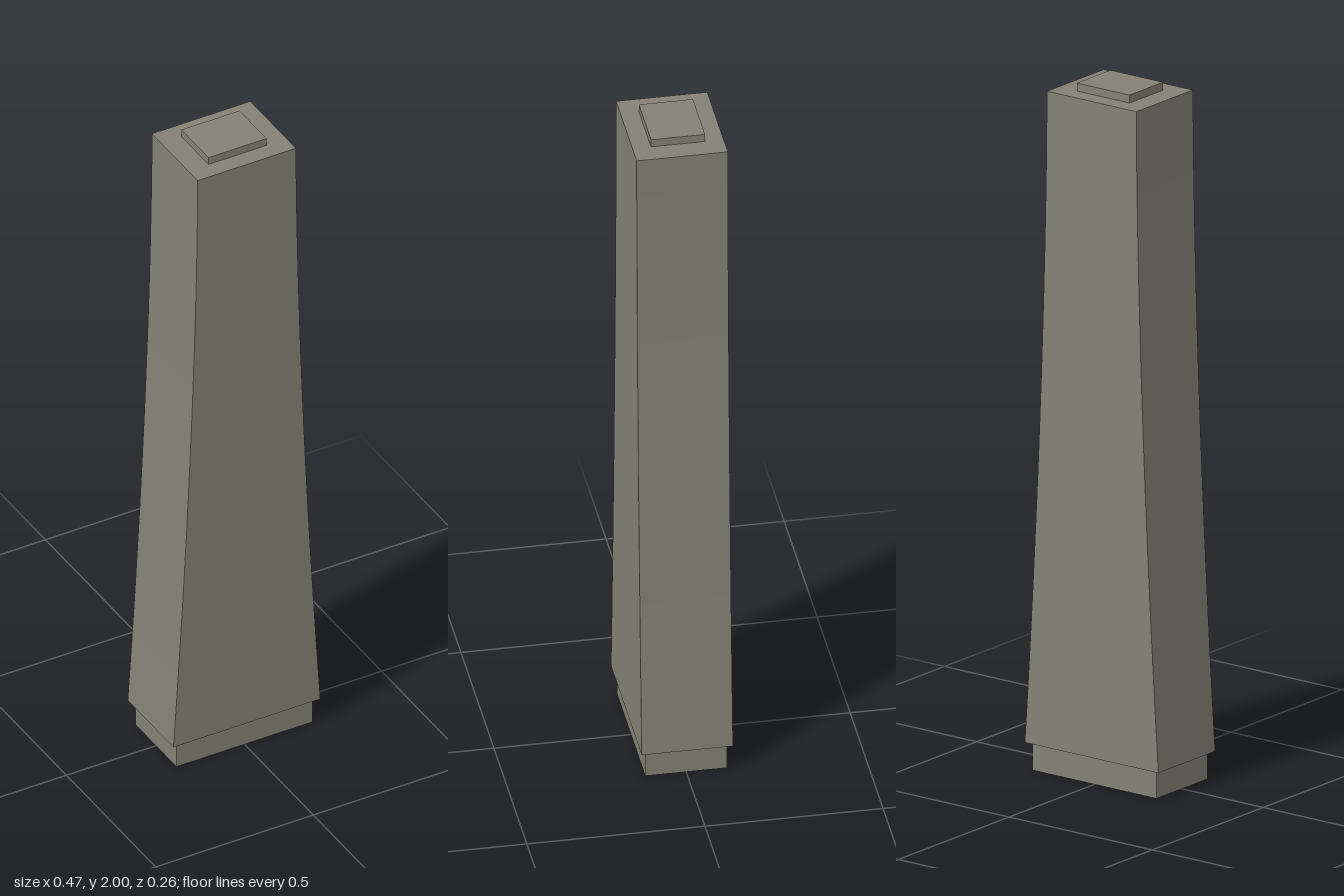
import * as THREE from 'three';

export function createModel() {
  const group = new THREE.Group();
  group.name = 'taperedPillar';
  const stone = new THREE.MeshStandardMaterial({ color: 0x858176, side: THREE.DoubleSide });
  stone.name = 'stone';

  const add = (name, geometry, y = 0, z = 0) => {
    const mesh = new THREE.Mesh(geometry, stone);
    mesh.name = name;
    mesh.position.set(0, y, z);
    group.add(mesh);
  };

  // Shaft: straight front and back, sides flaring gently towards the foot
  const bottom = 0.08, top = 1.977, depth = 0.256, steps = 16;
  const halfWidth = (t) => 0.156 + 0.077 * Math.pow(1 - t, 1.65);
  const right = [], left = [];
  for (let i = 0; i <= steps; i++) {
    const t = i / steps;
    const y = bottom + (top - bottom) * t;
    right.push(new THREE.Vector2(halfWidth(t), y));
    left.unshift(new THREE.Vector2(-halfWidth(t), y));
  }
  const profile = new THREE.Shape([...right, ...left]);
  add('shaft', new THREE.ExtrudeGeometry(profile, { depth, bevelEnabled: false }), 0, -depth / 2);

  // Foot: thin open-bottomed skirt, so only the four side faces of the box are kept
  const foot = new THREE.BoxGeometry(0.432, bottom, 0.23);
  const index = Array.from(foot.index.array);
  foot.setIndex([...index.slice(0, 12), ...index.slice(24)]);
  foot.clearGroups();
  add('foot', foot, bottom / 2);

  // Cap: small raised block on top
  add('cap', new THREE.BoxGeometry(0.184, 2 - top, 0.152), (2 + top) / 2);

  return group;
}
